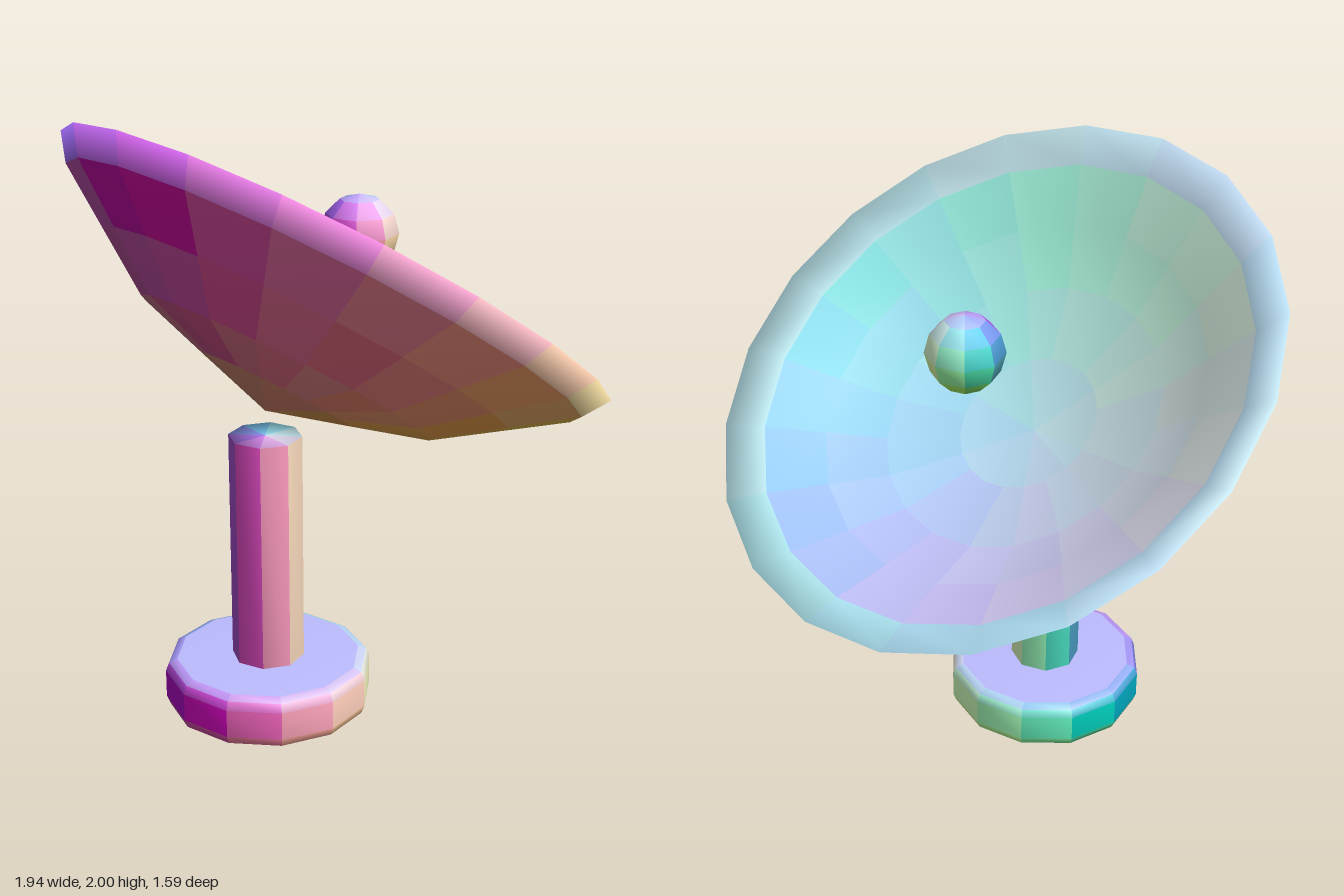
import * as THREE from 'three';
import { mergeVertices } from 'three/addons/utils/BufferGeometryUtils.js';

// Tint by facing: red to the left, green to the back, blue upward
const tints = new Map();
function tintFor(normal) {
  const level = (v) => Math.round((0.5 + 0.5 * v) * 16) / 16;
  const color = new THREE.Color(level(normal.x), level(-normal.z), level(normal.y));
  const key = color.getHex();
  if (!tints.has(key)) tints.set(key, new THREE.MeshStandardMaterial({ color }));
  return tints.get(key);
}

// Turn a closed profile of [radius, height] points around the y axis, tilt it, and
// share corners for smooth shading; panels facing the same way get one tinted mesh
function turned(name, profile, sides, tilt = 0) {
  const points = profile.map(([r, y]) => new THREE.Vector2(r, y));
  const lathe = new THREE.LatheGeometry(points, sides).rotateX(tilt);
  lathe.deleteAttribute('normal');
  lathe.deleteAttribute('uv');
  const whole = mergeVertices(lathe, 1e-4);
  whole.computeVertexNormals();

  const panels = new Map();
  const index = Array.from(whole.index.array);
  for (let i = 0; i < index.length; i += 6) {
    const corners = index.slice(i, i + 6);
    const facing = new THREE.Vector3();
    for (const c of corners) {
      facing.add(new THREE.Vector3().fromBufferAttribute(whole.attributes.normal, c));
    }
    const material = tintFor(facing.normalize());
    if (!panels.has(material)) panels.set(material, []);
    panels.get(material).push(...corners);
  }

  const part = new THREE.Group();
  part.name = name;
  for (const [material, corners] of panels) {
    const geometry = new THREE.BufferGeometry();
    geometry.setAttribute('position', whole.attributes.position);
    geometry.setAttribute('normal', whole.attributes.normal);
    geometry.setIndex(corners);
    const mesh = new THREE.Mesh(geometry, material);
    mesh.name = name + 'Panel';
    part.add(mesh);
  }
  return part;
}

export function createModel() {
  const model = new THREE.Group();
  model.name = 'dishAntenna';

  // Stand, set off from the dish centre: a bevelled foot and a capped post
  const stand = new THREE.Group();
  stand.name = 'stand';
  stand.position.z = 0.286;
  const foot = turned('foot', [
    [0, 0.002], [0.305, 0.002], [0.333, 0.012], [0.344, 0.04],
    [0.344, 0.135], [0.333, 0.163], [0.305, 0.175], [0, 0.175],
  ], 12);
  const post = turned('post', [[0, 0], [0.12, 0], [0.12, 0.953], [0, 0.953]], 8);
  stand.add(foot, post);

  // Bowl with a thick middle and a sharp rim: outside up to the rim, then inside down
  const dish = turned('dish', [
    [0, -0.498], [0.26, -0.423], [0.517, -0.347], [0.715, -0.215], [0.91, -0.085], [0.97, 0],
    [0.85, -0.055], [0.67, -0.155], [0.49, -0.255], [0.245, -0.313], [0, -0.37],
  ], 20, -0.609);
  dish.position.y = 1.445;

  // Receiver ball floating in front of the bowl
  const arc = Array.from({ length: 7 }, (_, i) => {
    const a = (i / 6) * Math.PI;
    return [0.128 * Math.sin(a), -0.128 * Math.cos(a)];
  });
  const receiver = turned('receiver', arc, 8);
  receiver.position.set(0, 1.557, -0.104);

  model.add(stand, dish, receiver);
  return model;
}
